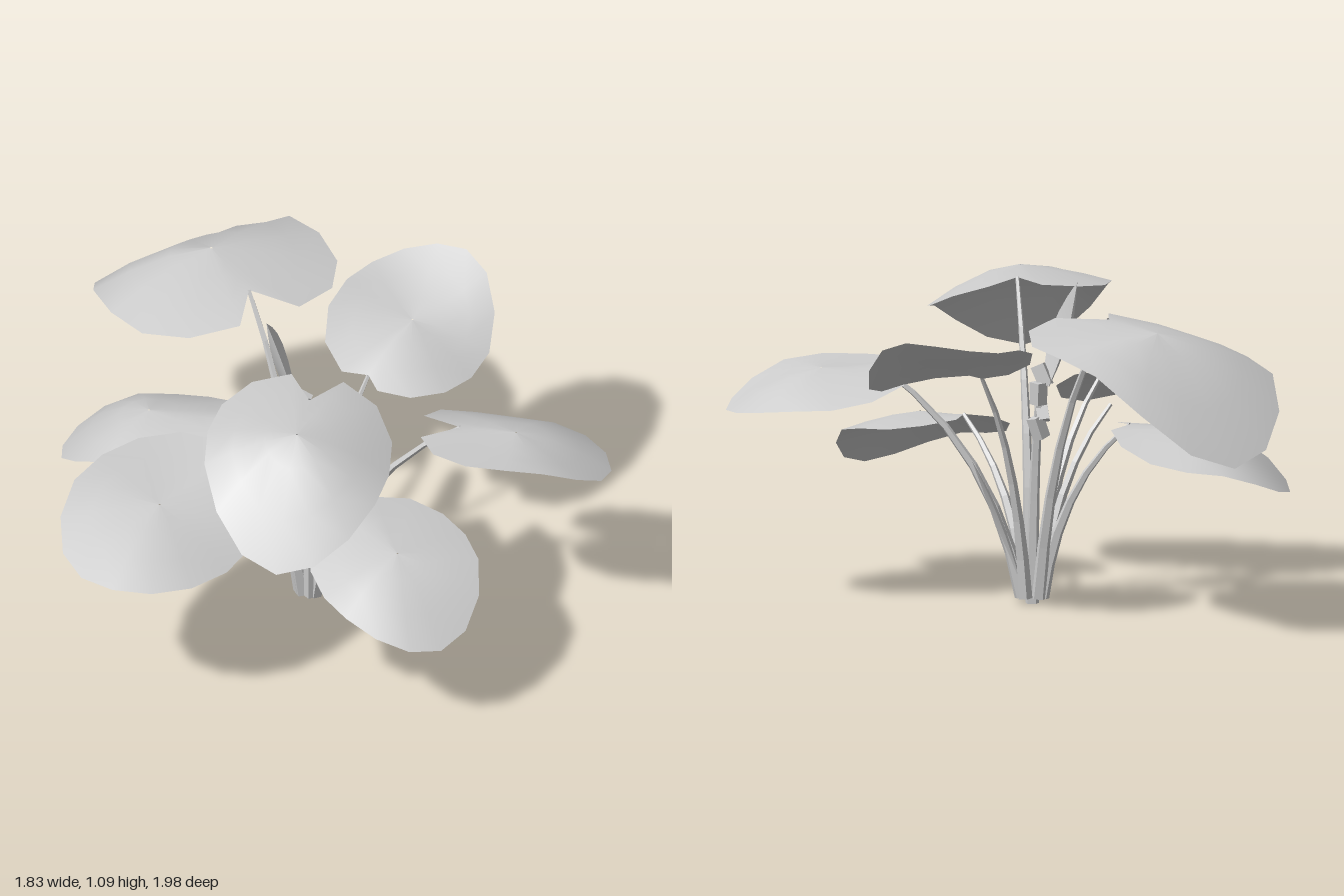
import * as THREE from 'three';

const V = (p) => new THREE.Vector3(...p);

// Surface through rows of points, all rows the same length
function loft(rows, closed) {
  const n = rows[0].length, index = [];
  for (let i = 0; i < rows.length - 1; i++) {
    for (let j = 0; j < (closed ? n : n - 1); j++) {
      const a = i * n + j, b = i * n + (j + 1) % n;
      index.push(a, b, a + n, b, b + n, a + n);
    }
  }
  const g = new THREE.BufferGeometry().setFromPoints(rows.flat());
  g.setIndex(index);
  g.computeVertexNormals();
  return g;
}

// Round leaf: an oval pointing away from its notch, bent to the heights of its tip and two sides
function leafGeometry({ notch, centre, size, heights }) {
  const n = V(notch), c = V(centre), [length, width] = size, [tipY, sideA, sideB] = heights;
  const along = new THREE.Vector3(c.x - n.x, 0, c.z - n.z).normalize();
  const across = new THREE.Vector3(-along.z, 0, along.x);
  const outline = [n], lobe = Math.PI * 0.91, steps = 14;
  for (let i = 0; i <= steps; i++) {
    const a = lobe * (2 * i / steps - 1), u = Math.cos(a), v = Math.sin(a);
    // Fuller lobes on the stalk side
    const full = u < 0 ? 1 + 0.08 * Math.sin(2 * a) ** 2 : 1;
    const p = c.clone().addScaledVector(along, u * length * full).addScaledVector(across, v * width * full);
    p.y = u * u * (u > 0 ? tipY : n.y) + v * v * (v > 0 ? sideA : sideB);
    outline.push(p);
  }
  // Rings from the centre out, dropping faster towards the rim
  const rows = [0.01, 0.35, 0.7, 1].map((t) => outline.map((p) => {
    const q = c.clone().lerp(p, t);
    q.y = c.y + (p.y - c.y) * Math.pow(t, 1.7);
    return q;
  }));
  return loft(rows, true);
}

// Tapered, faceted stalk that starts upright and arches out to its end
function stalkGeometry(base, end, r0, r1) {
  const a = V(base), b = V(end), steps = 6;
  const mid = a.clone().lerp(b, 0.2);
  mid.y = a.y + (b.y - a.y) * 0.66;
  const curve = new THREE.QuadraticBezierCurve3(a, mid, b);
  const g = new THREE.TubeGeometry(curve, steps, 1, 5);
  const pos = g.attributes.position, p = new THREE.Vector3();
  for (let i = 0; i < pos.count; i++) {
    const t = Math.floor(i / 6) / steps, c = curve.getPointAt(t);
    p.fromBufferAttribute(pos, i).sub(c).multiplyScalar(r0 + (r1 - r0) * t).add(c);
    pos.setXYZ(i, p.x, p.y, p.z);
  }
  const flat = g.toNonIndexed();
  flat.computeVertexNormals();
  return flat;
}

// Pointed blade from base to tip, wide in the middle and folded along its spine
function bladeGeometry(base, bend, tip, heading, halfWidth) {
  const curve = new THREE.QuadraticBezierCurve3(V(base), V(bend), V(tip));
  const side = new THREE.Vector3(Math.cos(heading), 0, Math.sin(heading));
  const back = new THREE.Vector3(-side.z, 0, side.x);
  const rows = [];
  for (let i = 0; i <= 6; i++) {
    const t = i / 6, w = halfWidth * Math.sin(Math.PI * (0.1 + t * 0.895));
    rows.push([-1, 0, 1].map((s) => curve.getPoint(t)
      .addScaledVector(side, s * w).addScaledVector(back, s === 0 ? w * 0.4 : 0)));
  }
  return loft(rows, false);
}

// size: half length, half width; heights: tip, then the two sides
const LEAVES = {
  backLeaf: { notch: [0.2, 1.01, -0.3], centre: [0.27, 1.0, -0.57], size: [0.44, 0.39], heights: [0.6, 0.95, 0.88] },
  backRightLeaf: { notch: [-0.01, 0.62, -0.22], centre: [-0.14, 0.61, -0.42], size: [0.3, 0.25], heights: [0.4, 0.5, 0.56] },
  leftLeaf: { notch: [0.38, 0.79, 0.1], centre: [0.62, 0.875, 0.05], size: [0.3, 0.26], heights: [0.99, 0.76, 0.94] },
  frontLeftLeaf: { notch: [0.41, 0.8, 0.53], centre: [0.54, 0.79, 0.665], size: [0.32, 0.23], heights: [0.65, 0.8, 0.68] },
  frontLeaf: { notch: [0.04, 0.59, 0.46], centre: [-0.01, 0.57, 0.69], size: [0.3, 0.27], heights: [0.36, 0.47, 0.54] },
  frontRightLeaf: { notch: [-0.09, 1.05, 0.335], centre: [-0.255, 1.06, 0.46], size: [0.35, 0.31], heights: [0.73, 1.01, 0.92] },
  rightLeaf: { notch: [-0.23, 0.74, 0.08], centre: [-0.55, 0.71, 0.1], size: [0.37, 0.295], heights: [0.6, 0.75, 0.57] },
};

export function createModel() {
  const plant = new THREE.Group();
  plant.name = 'leafyPlant';
  const grey = new THREE.MeshStandardMaterial({ color: 0xcccccc, side: THREE.DoubleSide });
  grey.name = 'plantGrey';
  const add = (name, geometry) => {
    const m = new THREE.Mesh(geometry, grey);
    m.name = name;
    plant.add(m);
    return m;
  };

  // Leaves, each on a stalk rising from a ring around the crown
  const cx = 0.13, cz = 0.09;
  const addStalk = (name, end) => {
    const a = Math.atan2(end[2] - cz, end[0] - cx);
    add(name, stalkGeometry([cx + Math.cos(a) * 0.035, 0.02, cz + Math.sin(a) * 0.035], end, 0.025, 0.007));
  };
  for (const [name, leaf] of Object.entries(LEAVES)) {
    add(name, leafGeometry(leaf));
    addStalk(name + 'Stalk', leaf.notch);
  }
  addStalk('bareStalk', [-0.15, 0.65, -0.02]);

  // Flower stalk with a lumpy, twisting spike on top
  add('flowerStalk', stalkGeometry([cx, 0, cz], [0.14, 0.7, 0.05], 0.024, 0.014));
  for (let i = 0; i < 4; i++) {
    const lean = i % 2 ? -1 : 1;
    const lump = add('flowerSpike', new THREE.BoxGeometry(0.045, 0.075, 0.04));
    lump.position.set(0.135 + lean * 0.01, 0.6 + i * 0.058, 0.05);
    lump.rotation.set(0.2, i * 0.7, lean * -0.25);
  }

  // Upright hood behind the spike, cupped towards the front left
  add('flowerHood', bladeGeometry([0.13, 0.74, 0.03], [0.12, 0.93, -0.01], [0.05, 1.09, -0.04], 2.2, 0.1));

  // Young pointed blade at the crown
  add('youngBlade', bladeGeometry([0.18, 0.1, 0.11], [0.26, 0.33, 0.15], [0.31, 0.49, 0.2], 2.2, 0.045));
  return plant;
}
